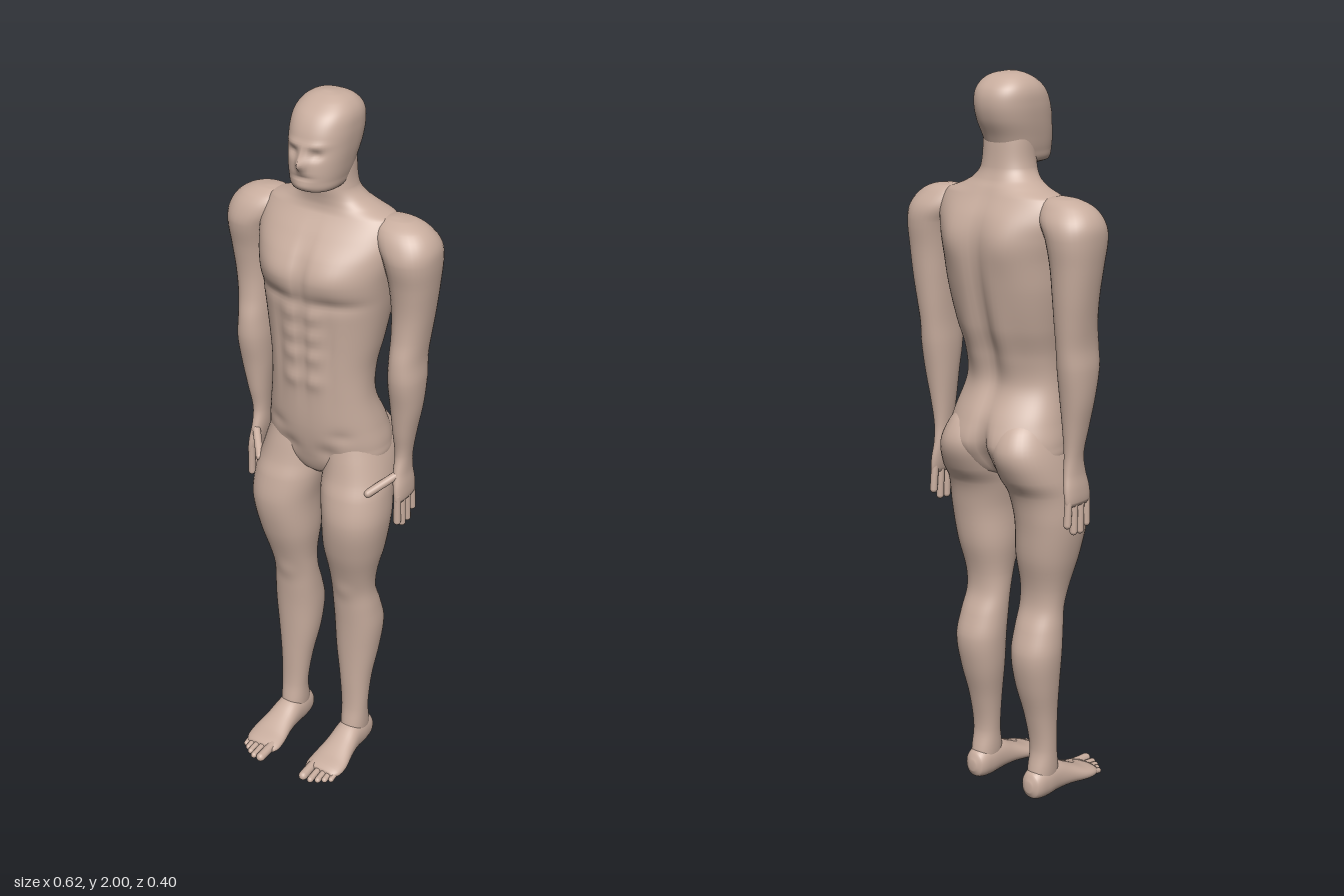
import * as THREE from 'three';

const skin = new THREE.MeshStandardMaterial({ color: 0xc8ad9e });
skin.name = 'skin';

// Smooth curve through the rows: [t, centre x, half width, low, high]
function refine(rows, steps) {
  const slope = (i, k) => {
    const a = rows[Math.max(i - 1, 0)], b = rows[Math.min(i + 1, rows.length - 1)];
    return (b[k] - a[k]) / (b[0] - a[0]);
  };
  const out = [];
  for (let i = 0; i < rows.length - 1; i++) {
    const p = rows[i], q = rows[i + 1], h = q[0] - p[0];
    for (let s = 0; s < steps; s++) {
      const u = s / steps, u2 = u * u, u3 = u2 * u;
      out.push(p.map((v, k) => k === 0 ? v + h * u :
        (2 * u3 - 3 * u2 + 1) * v + (u3 - 2 * u2 + u) * h * slope(i, k) +
        (3 * u2 - 2 * u3) * q[k] + (u3 - u2) * h * slope(i + 1, k)));
    }
  }
  out.push(rows[rows.length - 1]);
  return out;
}

// Closed skin over oval sections; bumps are [face, x, t, spread x, spread t, height]
function loft(name, rows, { n = 32, steps = 5, power = 2.2, bumps = [], alongZ = false, side = 1 } = {}) {
  const rings = refine(rows, steps), pos = [], index = [];
  const put = (x, t, d) => alongZ ? pos.push(x, d, t) : pos.push(x, t, d);
  const oval = v => Math.sign(v) * Math.pow(Math.abs(v), 2 / power);
  const tri = (a, b, c) => alongZ ? index.push(a, c, b) : index.push(a, b, c);
  for (const [t, cx, rx, lo, hi] of rings) {
    for (let j = 0; j < n; j++) {
      const a = j / n * Math.PI * 2, s = Math.sin(a);
      const x = oval(Math.cos(a)) * rx;
      let d = (lo + hi) / 2 + oval(s) * (hi - lo) / 2;
      for (const [face, bx, bt, sx, st, h] of bumps) {
        const e = ((Math.abs(x) - bx) / sx) ** 2 + ((t - bt) / st) ** 2;
        d += face * h * Math.exp(-e) * Math.min(1, Math.max(0, face * s * 1.5));
      }
      put(cx * side + x, t, d);
    }
  }
  for (let i = 0; i < rings.length - 1; i++) {
    for (let j = 0; j < n; j++) {
      const a = i * n + j, b = i * n + (j + 1) % n;
      tri(a, a + n, b);
      tri(b, a + n, b + n);
    }
  }
  // End caps
  [0, rings.length - 1].forEach((i, top) => {
    const [t, cx, , lo, hi] = rings[i], c = pos.length / 3;
    put(cx * side, t, (lo + hi) / 2);
    for (let j = 0; j < n; j++) {
      const a = i * n + j, b = i * n + (j + 1) % n;
      top ? tri(c, b, a) : tri(c, a, b);
    }
  });
  const g = new THREE.BufferGeometry();
  g.setAttribute('position', new THREE.Float32BufferAttribute(pos, 3));
  g.setIndex(index);
  g.computeVertexNormals();
  const mesh = new THREE.Mesh(g, skin);
  mesh.name = name;
  return mesh;
}

// Rounded rod between two points, for fingers and toes
function digit(name, from, to, r, side) {
  const a = new THREE.Vector3(from[0] * side, from[1], from[2]);
  const b = new THREE.Vector3(to[0] * side, to[1], to[2]);
  const dir = b.clone().sub(a);
  const mesh = new THREE.Mesh(new THREE.CapsuleGeometry(r, dir.length() - r, 5, 12), skin);
  mesh.position.copy(a).addScaledVector(dir, 0.5).addScaledVector(dir.clone().normalize(), -r / 2);
  mesh.quaternion.setFromUnitVectors(new THREE.Vector3(0, 1, 0), dir.normalize());
  mesh.name = name;
  return mesh;
}

function makeTorso() {
  const bumps = [
    [1, 0.08, 1.55, 0.06, 0.05, 0.010],    // chest muscles
    [1, 0.09, 1.475, 0.08, 0.018, -0.008], // crease below the chest
    [1, 0, 1.55, 0.012, 0.08, -0.010],     // breastbone
    [1, 0, 1.33, 0.008, 0.14, -0.007],     // belly midline
    [1, 0.075, 1.33, 0.012, 0.13, -0.005], // belly side lines
    [1, 0.1, 1.08, 0.03, 0.02, -0.005],    // groin creases
    [1, 0.06, 1.02, 0.03, 0.025, -0.008],
    [-1, 0, 1.38, 0.025, 0.22, -0.018],    // spine
    [-1, 0.09, 1.58, 0.05, 0.07, 0.012],   // shoulder blades
    [-1, 0.06, 1.28, 0.03, 0.1, 0.008],    // lower back muscles
    [-1, 0, 1.0, 0.02, 0.08, -0.035],      // cleft
    [-1, 0.085, 1.03, 0.05, 0.05, 0.008],  // buttocks
  ];
  for (const y of [1.435, 1.375, 1.315, 1.24]) bumps.push([1, 0.032, y, 0.024, 0.022, 0.007]);
  return loft('torso', [
    [0.93, 0, 0.03, -0.09, 0.01], [0.95, 0, 0.09, -0.13, 0.03], [1.0, 0, 0.172, -0.168, 0.048],
    [1.04, 0, 0.178, -0.18, 0.058], [1.1, 0, 0.167, -0.165, 0.067], [1.19, 0, 0.149, -0.122, 0.072],
    [1.27, 0, 0.148, -0.132, 0.077], [1.35, 0, 0.161, -0.16, 0.08], [1.45, 0, 0.177, -0.184, 0.087],
    [1.53, 0, 0.187, -0.194, 0.099], [1.59, 0, 0.198, -0.192, 0.081], [1.64, 0, 0.203, -0.178, 0.048],
    [1.69, 0, 0.185, -0.15, 0.01], [1.71, 0, 0.135, -0.139, 0.004], [1.73, 0, 0.098, -0.127, 0.005],
    [1.76, 0, 0.076, -0.117, 0.01], [1.84, 0, 0.07, -0.11, 0.01],
  ], { n: 72, steps: 8, bumps });
}

function makeHead() {
  return loft('head', [
    [1.763, 0, 0.035, -0.04, 0.05], [1.772, 0, 0.06, -0.075, 0.07], [1.8, 0, 0.07, -0.1, 0.077],
    [1.84, 0, 0.077, -0.118, 0.077], [1.88, 0, 0.082, -0.137, 0.071], [1.92, 0, 0.084, -0.145, 0.062],
    [1.955, 0, 0.08, -0.138, 0.042], [1.98, 0, 0.064, -0.115, 0.012], [1.994, 0, 0.04, -0.087, -0.015],
    [2.0, 0, 0.01, -0.05, -0.035],
  ], {
    n: 64, steps: 7, power: 2.35, bumps: [
      [1, 0, 1.843, 0.012, 0.018, 0.022],     // nose
      [1, 0, 1.868, 0.009, 0.02, 0.008],      // nose bridge
      [1, 0.033, 1.867, 0.016, 0.012, -0.010], // eye sockets
      [1, 0.03, 1.89, 0.03, 0.009, 0.005],    // brows
      [1, 0, 1.807, 0.028, 0.005, -0.005],    // mouth
      [1, 0, 1.782, 0.022, 0.012, 0.004],     // chin
    ],
  });
}

function makeArm(side) {
  const arm = new THREE.Group();
  arm.name = side > 0 ? 'leftArm' : 'rightArm';
  arm.add(loft('armAndPalm', [
    [0.893, 0.24, 0.008, -0.1, -0.014], [0.905, 0.24, 0.014, -0.106, -0.01], [0.94, 0.236, 0.018, -0.106, -0.012],
    [0.98, 0.231, 0.019, -0.1, -0.022], [1.03, 0.231, 0.021, -0.095, -0.033], [1.1, 0.234, 0.03, -0.1, -0.022],
    [1.18, 0.238, 0.041, -0.11, -0.01], [1.26, 0.239, 0.046, -0.122, 0.005], [1.32, 0.238, 0.044, -0.128, 0.004],
    [1.38, 0.24, 0.047, -0.135, -0.006], [1.45, 0.243, 0.053, -0.142, -0.008], [1.53, 0.244, 0.062, -0.148, 0.002],
    [1.6, 0.239, 0.073, -0.155, 0.016], [1.64, 0.225, 0.082, -0.15, 0.01], [1.675, 0.208, 0.073, -0.128, -0.01],
    [1.695, 0.195, 0.045, -0.105, -0.04], [1.7, 0.19, 0.01, -0.08, -0.06],
  ], { side }));
  // Fingers, front to back, then the thumb
  [[-0.021, 0.825], [-0.045, 0.81], [-0.07, 0.812], [-0.094, 0.835]].forEach(([z, tip], i) =>
    arm.add(digit('finger' + (i + 1), [0.239, 0.915, z], [0.24, tip, z * 1.08 + 0.001], 0.0105, side)));
  arm.add(digit('thumb', [0.228, 0.972, -0.03], [0.17, 0.922, 0.036], 0.0115, side));
  return arm;
}

function makeLeg(side) {
  const leg = new THREE.Group();
  leg.name = side > 0 ? 'leftLeg' : 'rightLeg';
  leg.add(loft('thighAndCalf', [
    [0.03, 0.105, 0.03, -0.085, 0.01], [0.08, 0.105, 0.037, -0.084, 0.012], [0.15, 0.105, 0.038, -0.07, 0.002],
    [0.25, 0.102, 0.046, -0.086, 0.002], [0.35, 0.1, 0.061, -0.114, 0.004], [0.44, 0.101, 0.069, -0.127, 0.008],
    [0.51, 0.099, 0.067, -0.108, 0.014], [0.57, 0.097, 0.064, -0.085, 0.02], [0.63, 0.1, 0.068, -0.085, 0.038],
    [0.72, 0.106, 0.084, -0.105, 0.067], [0.82, 0.114, 0.092, -0.116, 0.084], [0.9, 0.107, 0.096, -0.132, 0.073],
    [0.95, 0.101, 0.095, -0.165, 0.057], [1.02, 0.092, 0.087, -0.189, 0.042], [1.08, 0.085, 0.07, -0.165, 0.025],
    [1.12, 0.085, 0.04, -0.12, -0.01],
  ], { side, n: 40, bumps: [[1, 0, 0.575, 0.03, 0.03, 0.006]] }));
  leg.add(loft('foot', [
    [-0.1, 0.105, 0.012, 0.03, 0.06], [-0.088, 0.105, 0.031, 0.01, 0.083], [-0.05, 0.105, 0.039, 0.001, 0.1],
    [0, 0.105, 0.041, 0.004, 0.098], [0.05, 0.107, 0.046, 0.006, 0.074], [0.1, 0.108, 0.055, 0.003, 0.051],
    [0.135, 0.106, 0.055, 0.003, 0.04], [0.155, 0.102, 0.046, 0.01, 0.032],
  ], { side, alongZ: true }));
  // Toes, inside to outside
  [[0.075, 0.207, 0.0135], [0.099, 0.203, 0.0095], [0.118, 0.192, 0.009], [0.134, 0.18, 0.0085], [0.149, 0.168, 0.008]]
    .forEach(([x, tip, r], i) =>
      leg.add(digit('toe' + (i + 1), [x - 0.001, 0.025, 0.12], [x, r + 0.005, tip], r, side)));
  return leg;
}

export function createModel() {
  const figure = new THREE.Group();
  figure.name = 'figure';
  figure.add(makeTorso(), makeHead());
  for (const side of [1, -1]) figure.add(makeArm(side), makeLeg(side));
  return figure;
}
